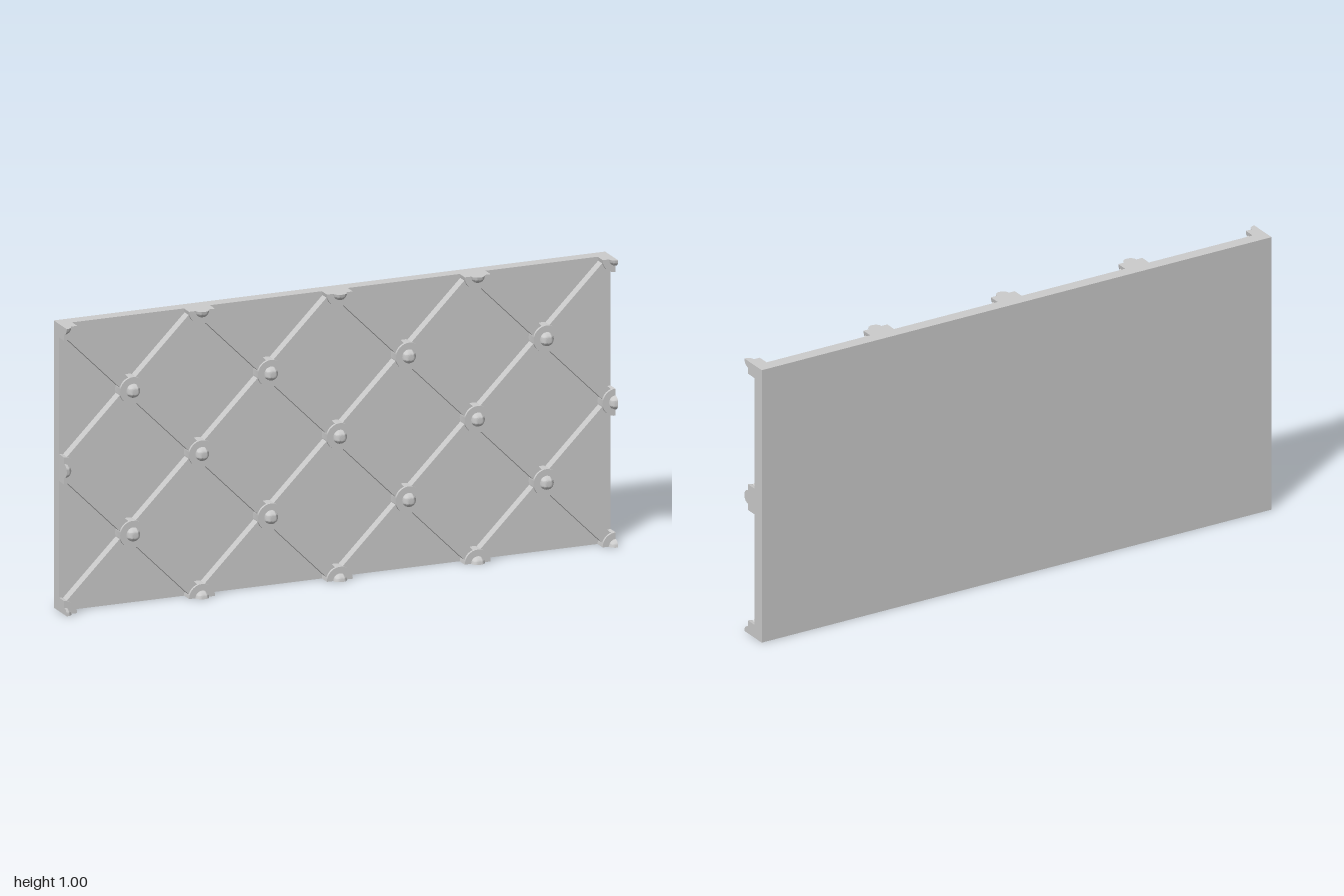
import * as THREE from 'three';
import { toCreasedNormals } from 'three/addons/utils/BufferGeometryUtils.js';

const W = 2, H = 1, STEP = 0.25;
const BACK = -0.055, FACE = -0.01, RIB_TOP = 0.024;
const BOSS_R = 0.047, BOSS_TOP = 0.033, DOME_R = 0.024, DOME_H = 0.022;

const material = new THREE.MeshStandardMaterial({ color: 0xcccccc });
const capMaterial = new THREE.MeshStandardMaterial({ color: 0xcccccc, side: THREE.DoubleSide });

// Boss cross-section: a flat disc carrying a round stud
function bossProfile() {
  const points = [new THREE.Vector2(BOSS_R, FACE), new THREE.Vector2(BOSS_R, BOSS_TOP)];
  for (let i = 0; i <= 8; i++) {
    const a = (i / 8) * Math.PI / 2;
    points.push(new THREE.Vector2(i === 8 ? 0 : DOME_R * Math.cos(a), BOSS_TOP + DOME_H * Math.sin(a)));
  }
  return points;
}

// A whole boss, or the part of it between two angles, closed by flat cut faces
function makeBoss(start, length) {
  const boss = new THREE.Group();
  boss.name = 'boss';
  const segments = Math.round(32 * length / (Math.PI * 2));
  const lathe = new THREE.LatheGeometry(bossProfile(), segments, start, length);
  lathe.rotateX(Math.PI / 2);
  const body = new THREE.Mesh(toCreasedNormals(lathe, 0.6), material);
  body.name = 'bossBody';
  boss.add(body);
  if (length < Math.PI * 2) {
    const outline = new THREE.Shape([new THREE.Vector2(0, FACE), ...bossProfile()]);
    for (const angle of [start, start + length]) {
      const cap = new THREE.ShapeGeometry(outline);
      cap.rotateX(Math.PI / 2);
      cap.rotateZ(angle - Math.PI / 2);
      const mesh = new THREE.Mesh(cap, capMaterial);
      mesh.name = 'bossCutFace';
      boss.add(mesh);
    }
  }
  return boss;
}

// Angles of a boss that stay inside the panel (0 = down, 90 degrees = +x)
function bossSpan(i, j, cols, rows) {
  const q = Math.PI / 2;
  const left = i === 0, right = i === cols, bottom = j === 0, top = j === rows;
  if (left) return bottom ? [q, q] : top ? [0, q] : [0, 2 * q];
  if (right) return bottom ? [2 * q, q] : top ? [3 * q, q] : [2 * q, 2 * q];
  if (bottom) return [q, 2 * q];
  if (top) return [-q, 2 * q];
  return [0, 4 * q];
}

export function createModel() {
  const model = new THREE.Group();
  model.name = 'latticePanel';

  // Backing slab
  const slab = new THREE.Mesh(new THREE.BoxGeometry(W, H, FACE - BACK), material);
  slab.name = 'backPanel';
  slab.position.set(0, H / 2, (FACE + BACK) / 2);
  model.add(slab);

  // Diagonal ribs, one per grid cell, ending inside the bosses
  const cols = W / STEP, rows = H / STEP;
  const ribDepth = RIB_TOP - FACE + 0.01;
  const ribGeometry = new THREE.BoxGeometry(STEP * Math.SQRT2 - 0.06, 0.044, ribDepth);
  for (let i = 0; i < cols; i++) {
    for (let j = 0; j < rows; j++) {
      const rib = new THREE.Mesh(ribGeometry, material);
      rib.name = 'rib';
      rib.position.set(-W / 2 + (i + 0.5) * STEP, (j + 0.5) * STEP, RIB_TOP - ribDepth / 2);
      rib.rotation.z = ((i + j) % 2 === 0 ? 1 : -1) * Math.PI / 4;
      model.add(rib);
    }
  }

  // Bosses at every crossing, cut flush at the panel edges
  for (let i = 0; i <= cols; i++) {
    for (let j = 0; j <= rows; j++) {
      if ((i + j) % 2) continue;
      const boss = makeBoss(...bossSpan(i, j, cols, rows));
      boss.position.set(-W / 2 + i * STEP, j * STEP, 0);
      model.add(boss);
    }
  }
  return model;
}
